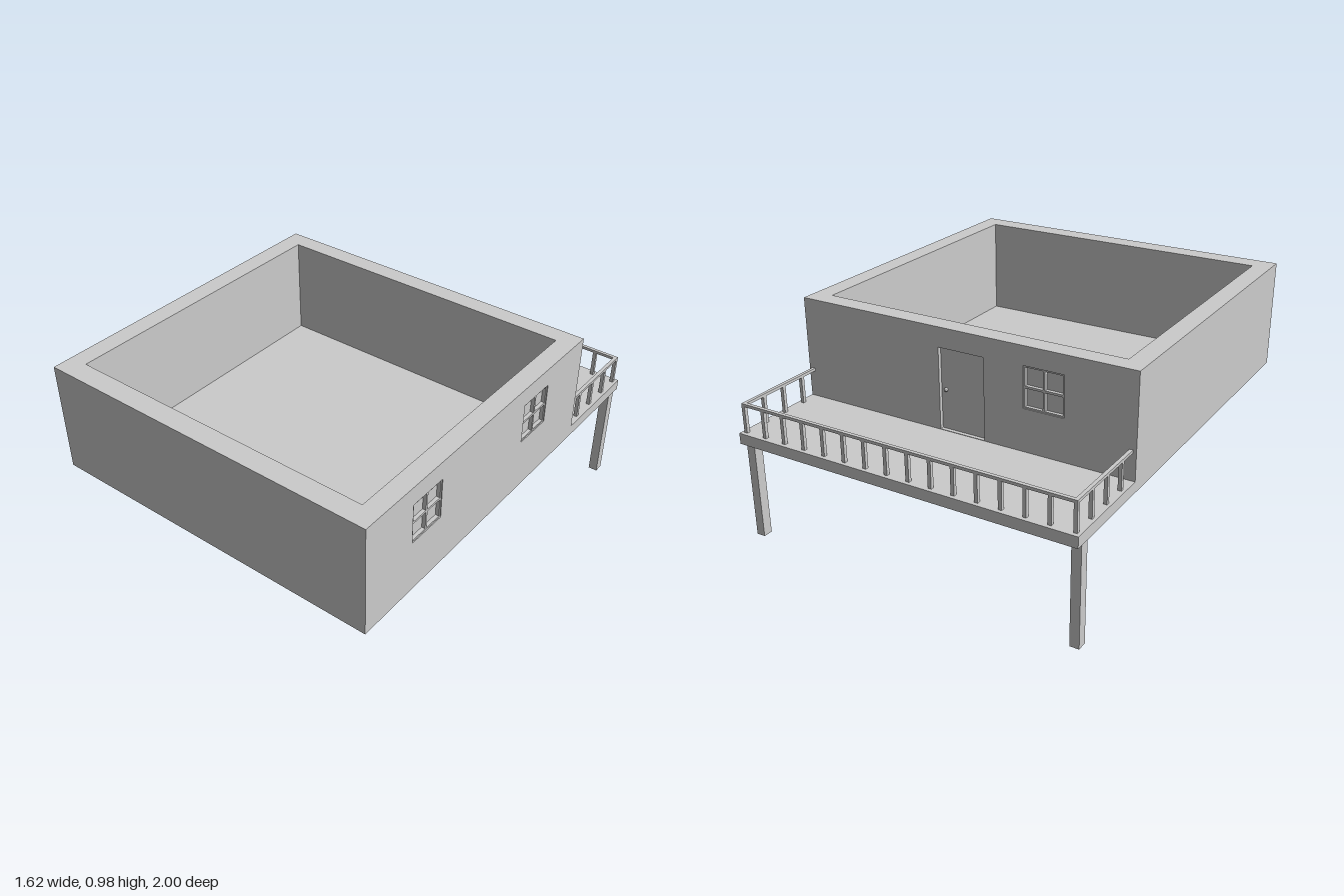
import * as THREE from 'three';

const W = 0.81;                 // half width
const BASE = 0.46, DECK = 0.51, TOP = 0.975;
const BACK = -0.535;            // outer face of the back wall
const RECESS = 0.02;            // depth of door and window openings

const material = new THREE.MeshStandardMaterial({ color: 0xcccccc, flatShading: true });

function add(parent, name, geometry) {
  const mesh = new THREE.Mesh(geometry, material);
  mesh.name = name;
  parent.add(mesh);
  return mesh;
}

// Box given by its minimum and maximum corners
function box(parent, name, [x0, y0, z0], [x1, y1, z1]) {
  const mesh = add(parent, name, new THREE.BoxGeometry(x1 - x0, y1 - y0, z1 - z0));
  mesh.position.set((x0 + x1) / 2, (y0 + y1) / 2, (z0 + z1) / 2);
  return mesh;
}

function rect(Type, x0, y0, x1, y1) {
  return new Type([[x0, y0], [x1, y0], [x1, y1], [x0, y1]].map(p => new THREE.Vector2(...p)));
}

// Flat panel with rectangular openings, extruded along its local z
function panel(outline, holes, depth) {
  const shape = rect(THREE.Shape, ...outline);
  holes.forEach(h => shape.holes.push(rect(THREE.Path, ...h)));
  return new THREE.ExtrudeGeometry(shape, { depth, bevelEnabled: false });
}

// Window frame with a cross of glazing bars, centred on its origin
function windowFrame() {
  const r = 0.093, t = 0.007, b = 0.005, holes = [];
  for (const sx of [-1, 1]) for (const sy of [-1, 1]) {
    const xs = [sx * b, sx * (r - t)].sort((m, n) => m - n);
    const ys = [sy * b, sy * (r - t)].sort((m, n) => m - n);
    holes.push([xs[0], ys[0], xs[1], ys[1]]);
  }
  return panel([-r, -r, r, r], holes, RECESS - 0.004);
}

export function createModel() {
  const model = new THREE.Group();
  model.name = 'stiltHouse';

  // Floor slab, continuing as the deck
  box(model, 'floorSlab', [-W, BASE, -1], [W, DECK, 1]);

  // Wall ring, seen from above, held back where the outer panels go
  const ring = panel([-W, -1, W - RECESS, -BACK - RECESS], [[-0.722, -0.905, 0.722, 0.45]], TOP - DECK);
  ring.rotateX(-Math.PI / 2);
  add(model, 'walls', ring).position.y = DECK;

  // Outer panel of the left wall with two window openings
  const r = 0.093, wy = 0.797, sideZ = [0.623, -0.155];
  const side = add(model, 'leftWallPanel', panel([-1, DECK, -BACK, TOP],
    sideZ.map(z => [-z - r, wy - r, -z + r, wy + r]), RECESS));
  side.rotation.y = Math.PI / 2;
  side.position.x = W - RECESS;

  // Outer panel of the back wall with door and window openings
  const backX = -0.4, doorL = 0.1, doorR = -0.12, doorTop = 0.885;
  add(model, 'backWallPanel', panel([-W, DECK, W - RECESS, TOP],
    [[doorR, DECK + 0.002, doorL, doorTop], [backX - r, wy - r, backX + r, wy + r]], RECESS)).position.z = BACK;

  // Window frames
  for (const z of sideZ) {
    const frame = add(model, 'sideWindow', windowFrame());
    frame.rotation.y = Math.PI / 2;
    frame.position.set(W - RECESS, wy, z);
  }
  add(model, 'backWindow', windowFrame()).position.set(backX, wy, BACK + 0.004);

  // Door leaf and knob
  box(model, 'door', [doorR, DECK, BACK + RECESS - 0.002], [doorL, doorTop, BACK + RECESS + 0.01]);
  const knob = add(model, 'doorKnob', new THREE.SphereGeometry(0.009, 12, 8));
  knob.position.set(0.075, 0.695, BACK + RECESS - 0.009);

  // Deck railing: three top rails with evenly spaced balusters
  const railing = new THREE.Group();
  railing.name = 'railing';
  model.add(railing);
  const rx = 0.788, rz = -0.975, h = 0.008, railY = 0.632, railTop = 0.645;
  const baluster = (x, z) =>
    box(railing, 'baluster', [x - h, DECK, z - h], [x + h, railY, z + h]);
  box(railing, 'backRail', [-rx - h, railY, rz - h], [rx + h, railTop, rz + h]);
  for (let i = 0; i <= 15; i++) baluster(-rx + (2 * rx * i) / 15, rz);
  for (const s of [-1, 1]) {
    box(railing, 'sideRail', [s * rx - h, railY, rz + h], [s * rx + h, railTop, BACK]);
    for (const z of [-0.62, -0.74, -0.86]) baluster(s * rx, z);
  }

  // Two stilts under the deck
  for (const s of [-1, 1]) {
    const x = s * 0.786;
    box(model, 'stilt', [x - 0.021, 0, -0.967], [x + 0.021, BASE, -0.922]);
  }
  return model;
}
